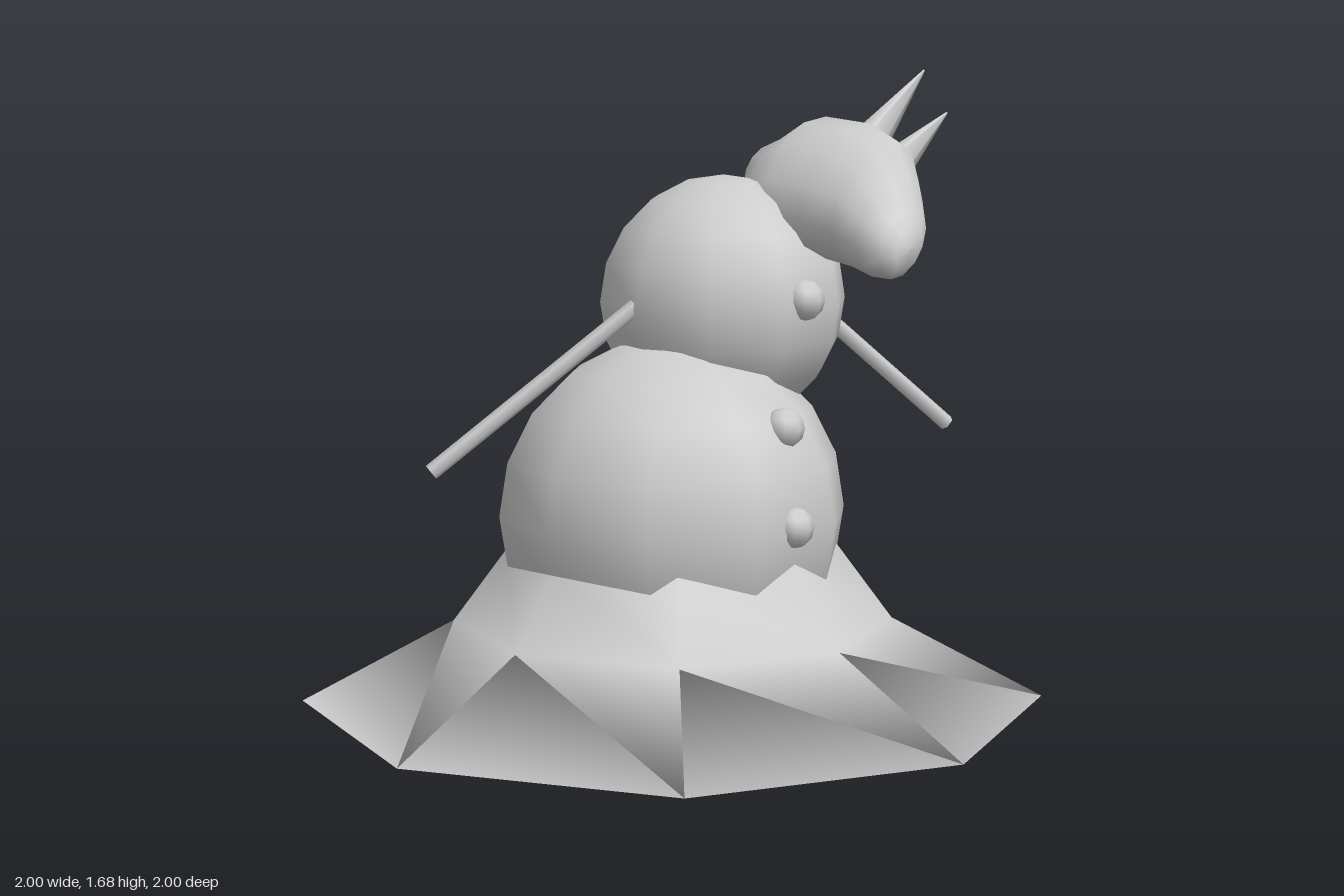
import * as THREE from 'three';

const material = new THREE.MeshStandardMaterial({ color: 0xcccccc });
const vec = (p) => new THREE.Vector3(...p);

function addMesh(group, name, geometry, position = [0, 0, 0]) {
  const mesh = new THREE.Mesh(geometry, material);
  mesh.name = name;
  mesh.position.set(...position);
  group.add(mesh);
  return mesh;
}

// Tapered rod between two points
function addRod(group, name, from, to, r0, r1, sides, flatten = 1) {
  const a = vec(from), b = vec(to), dir = b.clone().sub(a);
  const mesh = addMesh(group, name, new THREE.CylinderGeometry(r1, r0, dir.length(), sides),
    a.clone().add(b).multiplyScalar(0.5).toArray());
  mesh.quaternion.setFromUnitVectors(new THREE.Vector3(0, 1, 0), dir.normalize());
  mesh.scale.z = flatten;
  return mesh;
}

// Closed skin over leaning oval sections: [z, centre x, centre y, half width, half height]
function loft(sections, sides, lean) {
  const positions = [], index = [];
  sections.forEach(([z, cx, cy, rx, ry], j) => {
    for (let i = 0; i < sides; i++) {
      const t = (i / sides) * Math.PI * 2;
      positions.push(cx + rx * Math.cos(t), cy + ry * Math.sin(t + lean), z);
      if (j === sections.length - 1) continue;
      const a = j * sides + i, b = j * sides + (i + 1) % sides;
      index.push(a, b, a + sides, b, b + sides, a + sides);
    }
  });
  const geometry = new THREE.BufferGeometry();
  geometry.setAttribute('position', new THREE.Float32BufferAttribute(positions, 3));
  geometry.setIndex(index);
  geometry.computeVertexNormals();
  return geometry;
}

export function createModel() {
  const model = new THREE.Group();
  model.name = 'snowFigure';

  // Eight-sided mound of snow, softly shaded through to its underside
  const profile = [[0, 0], [1, 0], [0.59, 0.22], [0.45, 0.41], [0.34, 0.55], [0, 0.62]];
  addMesh(model, 'snowMound',
    new THREE.LatheGeometry(profile.map(([r, y]) => new THREE.Vector2(r, y)), 8));

  // Snowballs
  addMesh(model, 'lowerSnowball', new THREE.SphereGeometry(0.47, 10, 10), [0, 0.515, 0]);
  addMesh(model, 'upperSnowball', new THREE.SphereGeometry(0.337, 10, 10), [0.197, 1.07, 0]);

  // Buttons
  for (const p of [[0.175, 1.095, 0.31], [0.04, 0.775, 0.36], [0, 0.527, 0.43]]) {
    addMesh(model, 'button', new THREE.SphereGeometry(0.055, 8, 6), p);
  }

  // Stick arms
  addRod(model, 'leftArm', [0.46, 1.08, 0.02], [0.885, 0.675, 0.225], 0.022, 0.022, 6);
  addRod(model, 'rightArm', [-0.08, 1.11, 0], [-0.56, 0.65, -0.345], 0.022, 0.022, 6);

  // Long-muzzled animal head, rolled towards its left
  const head = new THREE.Group();
  head.name = 'head';
  model.add(head);
  addMesh(head, 'skull', loft([
    [-0.04, 0.39, 1.41, 0, 0],
    [-0.03, 0.38, 1.4, 0.07, 0.07],
    [0.05, 0.37, 1.365, 0.15, 0.14],
    [0.14, 0.365, 1.375, 0.175, 0.183],
    [0.28, 0.375, 1.37, 0.19, 0.175],
    [0.4, 0.35, 1.345, 0.175, 0.163],
    [0.49, 0.305, 1.3, 0.135, 0.135],
    [0.56, 0.275, 1.255, 0.095, 0.09],
    [0.59, 0.265, 1.245, 0.055, 0.055],
    [0.595, 0.265, 1.245, 0, 0],
  ], 12, 0.38));

  // Pointed ears
  addRod(head, 'rightEar', [0.46, 1.46, 0.26], [0.65, 1.68, 0.32], 0.065, 0.003, 6, 0.8);
  addRod(head, 'leftEar', [0.53, 1.39, 0.28], [0.75, 1.56, 0.32], 0.065, 0.003, 6, 0.8);

  return model;
}
